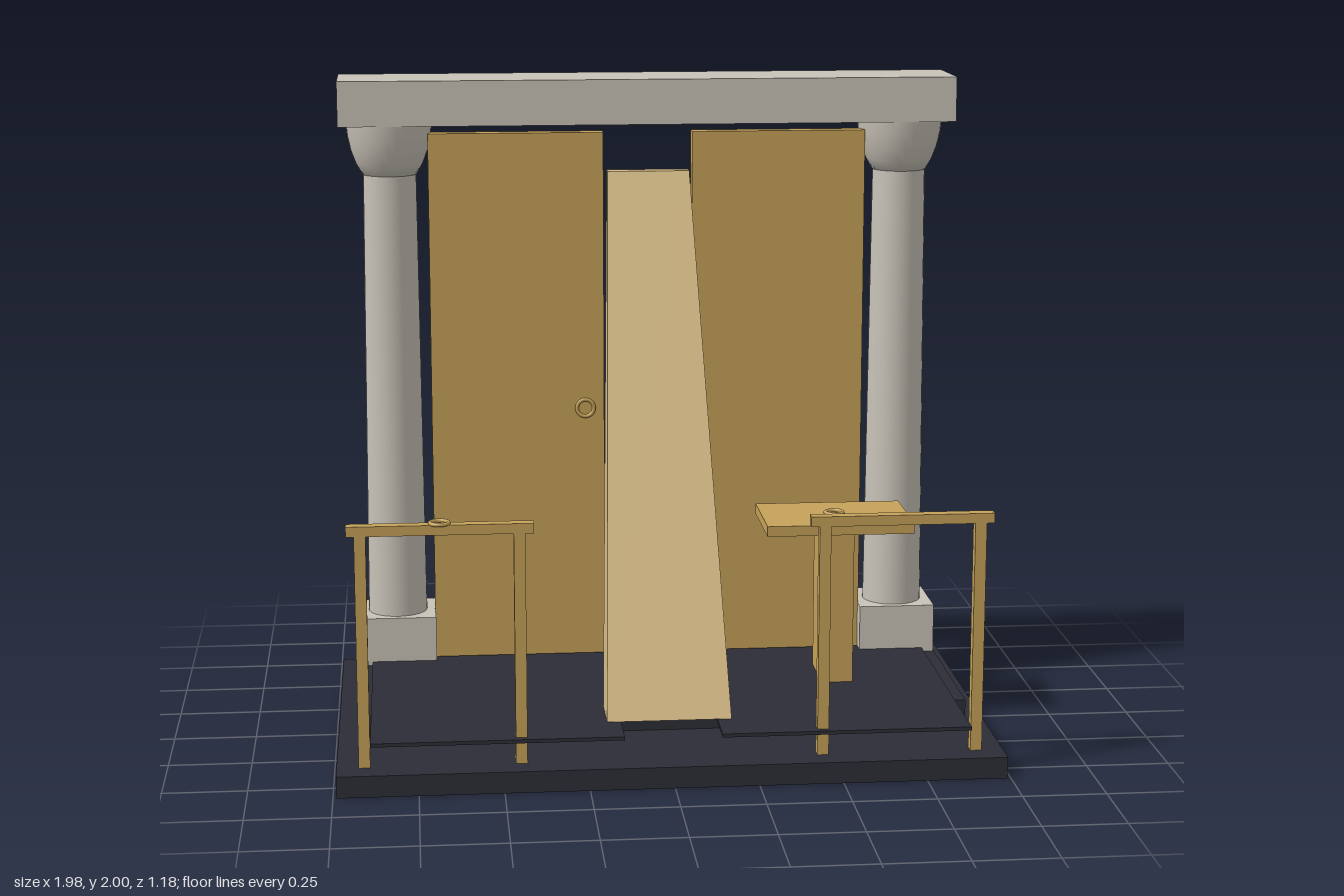
import * as THREE from 'three';

export function createModel() {
  const root = new THREE.Group();
  const mat = (name, color) => {
    const m = new THREE.MeshStandardMaterial({ color });
    m.name = name;
    return m;
  };
  const stone = mat('pale stone', 0xc8c3b8);
  const gold = mat('gold wood', 0xc5a159);
  const dark = mat('dark slate', 0x2d2d37);
  const pale = mat('pale wood', 0xd4ba84);

  const add = (name, geometry, material) => {
    const mesh = new THREE.Mesh(geometry, material);
    mesh.name = name;
    root.add(mesh);
    return mesh;
  };
  // Box given by its limits on each axis
  const box = (name, material, [x0, x1], [y0, y1], [z0, z1]) => {
    const mesh = add(name, new THREE.BoxGeometry(x1 - x0, y1 - y0, z1 - z0), material);
    mesh.position.set((x0 + x1) / 2, (y0 + y1) / 2, (z0 + z1) / 2);
    return mesh;
  };
  const ring = (name, x, y, z, flat = true) => {
    const mesh = add(name, new THREE.TorusGeometry(0.027, 0.006, 10, 28), gold);
    mesh.position.set(x, y, z);
    if (flat) mesh.rotation.x = Math.PI / 2;
  };

  // Stepped platform
  box('platform', dark, [-0.99, 0.99], [0, 0.065], [-0.59, 0.59]);
  box('step', dark, [-0.93, 0.93], [0.065, 0.133], [-0.56, 0.24]);

  // Crossbeam
  box('lintel', stone, [-0.963, 0.963], [1.86, 2], [-0.54, -0.27]);

  // Mirrored parts
  for (const s of [-1, 1]) {
    const side = s > 0 ? 'left' : 'right';
    const span = (a, b) => (s > 0 ? [a, b] : [-b, -a]);

    box(side + 'FloorPlate', dark, span(0.145, 0.89), [0.134, 0.145], [-0.33, 0.537]);
    box(side + 'Door', gold, span(0.14, 0.687), [0.13, 1.83], [-0.39, -0.34]);

    // Column: plinth, tapered shaft, swelling capital
    box(side + 'Plinth', stone, span(0.685, 0.927), [0.13, 0.288], [-0.517, -0.287]);
    const shaft = add(side + 'Shaft', new THREE.CylinderGeometry(0.083, 0.094, 1.42, 32), stone);
    shaft.position.set(s * 0.806, 0.99, -0.402);
    const profile = [[0, 0], [0.085, 0], [0.105, 0.035], [0.12, 0.075], [0.13, 0.12], [0.134, 0.16]];
    const capital = add(side + 'Capital', new THREE.LatheGeometry(
      profile.map(([r, y]) => new THREE.Vector2(r, y)), 32), stone);
    capital.position.set(s * 0.806, 1.7, -0.402);

    // Handrail on two posts
    box(side + 'Rail', gold, span(0.405, 0.948), [0.763, 0.793], [0.482, 0.518]);
    for (const x of [0.447, 0.908]) {
      box(side + 'RailPost', gold, span(x - 0.017, x + 0.017), [0.065, 0.765], [0.483, 0.517]);
    }
  }

  // Leaning slab, tapering upward in width and depth
  const slabGeo = new THREE.BoxGeometry(1, 1, 1);
  const p = slabGeo.attributes.position;
  for (let i = 0; i < p.count; i++) {
    const top = p.getY(i) > 0, front = p.getZ(i) > 0;
    p.setXYZ(i,
      Math.sign(p.getX(i)) * (top ? 0.128 : 0.187),
      top ? 1.71 : 0.147,
      top ? (front ? -0.315 : -0.362) : (front ? 0.402 : 0.235));
  }
  slabGeo.computeVertexNormals();
  add('leaningSlab', slabGeo, pale);

  // Pedestal table
  box('tableTop', gold, [0.33, 0.787], [0.63, 0.662], [-0.195, 0.105]);
  box('tablePedestal', gold, [0.51, 0.607], [0.13, 0.63], [-0.14, 0.058]);

  // Small rings
  ring('tableRing', 0.558, 0.666, -0.045);
  ring('railRing', -0.678, 0.796, 0.5);
  ring('floorRing', 0, 0.138, 0.1);
  ring('doorRing', -0.2, 0.953, -0.336, false);

  return root;
}
